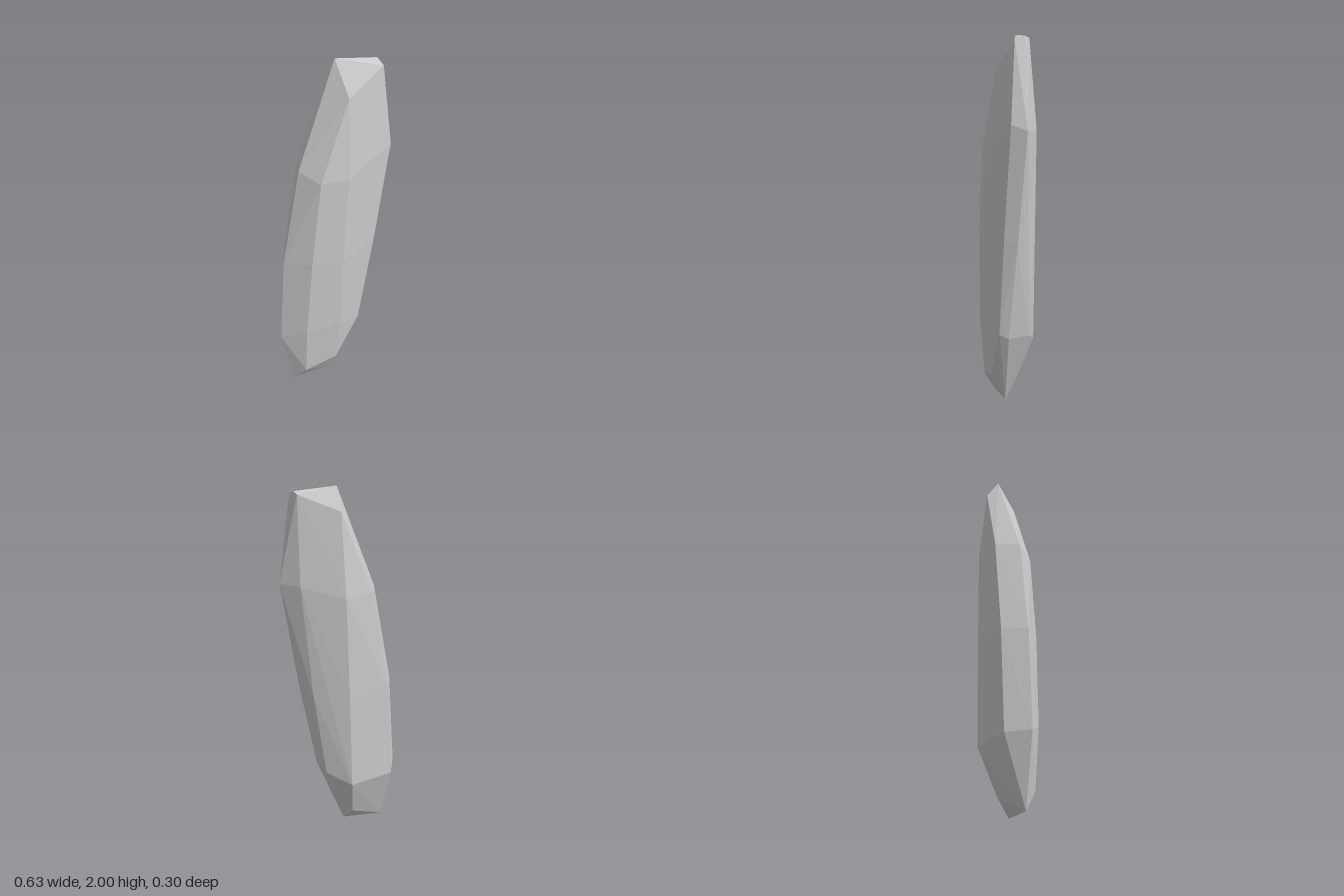
import * as THREE from 'three';
import { ConvexGeometry } from 'three/addons/geometries/ConvexGeometry.js';

// Corner rings of the faceted shard, bottom to top, each going round
// left edge, front, right edge, back: [x, y, z]
const rings = [
  // bottom ridge
  [[-0.25, 0, 0], [-0.02, 0.01, 0.02]],
  // lower bevel
  [[-0.2, 0.11, 0.075], [-0.02, 0.17, 0.105], [-0.05, 0.1, -0.055]],
  // lower girdle
  [[-0.32, 0.37, 0.005], [-0.2, 0.43, 0.1], [0, 0.45, 0.13], [0.12, 0.44, 0.11],
    [0.13, 0.41, 0.06], [0.11, 0.41, -0.07], [-0.015, 0.35, -0.148], [-0.26, 0.36, -0.115]],
  // middle
  [[-0.285, 0.91, 0.01], [-0.165, 0.93, 0.115], [0, 0.92, 0.148], [0.2, 0.97, 0.115],
    [0.225, 0.93, 0.05], [0.175, 0.9, -0.06], [0, 0.9, -0.146], [-0.225, 0.92, -0.116]],
  // upper girdle
  [[-0.185, 1.46, 0.015], [-0.11, 1.42, 0.115], [0.03, 1.43, 0.145], [0.28, 1.55, 0.11],
    [0.315, 1.52, 0.035], [0.23, 1.52, -0.05], [0.02, 1.46, -0.14], [-0.13, 1.47, -0.108]],
  // upper bevel
  [[0.05, 1.84, 0.095], [0.24, 1.96, 0.075], [0.03, 1.89, -0.09]],
  // top ridge
  [[0.03, 2, -0.02], [0.235, 1.98, 0.02], [0.225, 1.97, -0.01]],
];

export function createModel() {
  const group = new THREE.Group();
  group.name = 'stoneShard';

  // Faceted stone body stretched over the rings
  const points = rings.flat().map((p) => new THREE.Vector3(...p));
  const material = new THREE.MeshStandardMaterial({ color: 0xcccccc, flatShading: true });
  const body = new THREE.Mesh(new ConvexGeometry(points), material);
  body.name = 'stoneBody';
  group.add(body);

  return group;
}
